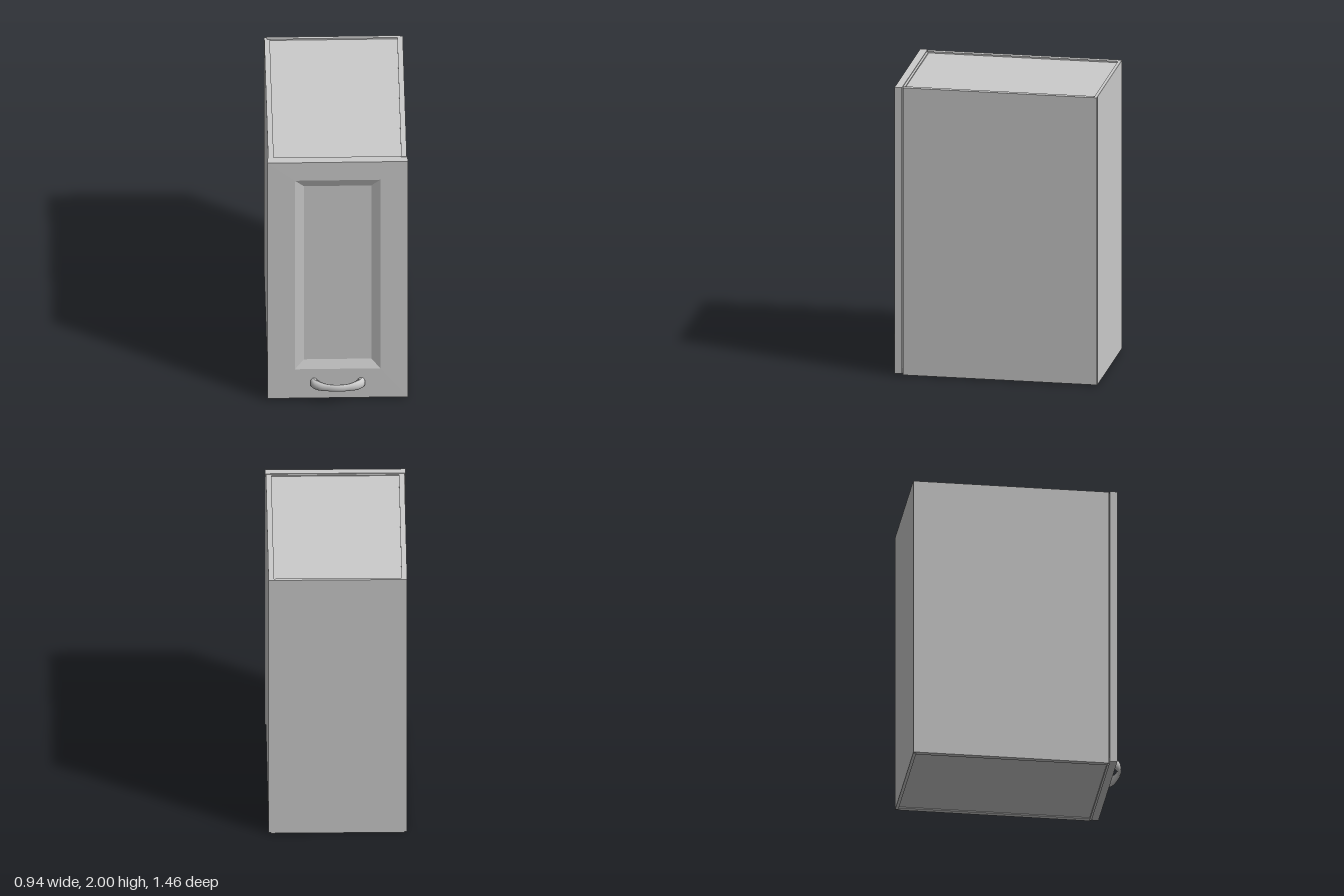
import * as THREE from 'three';

const grey = new THREE.MeshStandardMaterial({ color: 0xcccccc });
const facet = new THREE.MeshStandardMaterial({ color: 0xcccccc, flatShading: true });

// Box given by its minimum and maximum corners
function panel(name, [x0, y0, z0], [x1, y1, z1]) {
  const mesh = new THREE.Mesh(new THREE.BoxGeometry(x1 - x0, y1 - y0, z1 - z0), grey);
  mesh.position.set((x0 + x1) / 2, (y0 + y1) / 2, (z0 + z1) / 2);
  mesh.name = name;
  return mesh;
}

// Door skin lofted through rectangular rings [halfWidth, bottom, top, z]
function createDoor() {
  const rings = [
    [0.468, 0.015, 2.0, 0.59],
    [0.468, 0.015, 2.0, 0.64],
    [0.285, 0.26, 1.85, 0.642],
    [0.225, 0.325, 1.785, 0.618],
  ];
  const pos = [];
  const index = [];
  for (const [w, b, t, z] of rings) pos.push(-w, b, z, w, b, z, w, t, z, -w, t, z);
  for (let r = 0; r < rings.length - 1; r++) {
    for (let i = 0; i < 4; i++) {
      const a = r * 4 + i, b = r * 4 + (i + 1) % 4;
      index.push(a, b, b + 4, a, b + 4, a + 4);
    }
  }
  const c = (rings.length - 1) * 4;
  index.push(c, c + 1, c + 2, c, c + 2, c + 3); // sunken centre panel
  index.push(0, 2, 1, 0, 3, 2); // back
  const geo = new THREE.BufferGeometry();
  geo.setAttribute('position', new THREE.Float32BufferAttribute(pos, 3));
  geo.setIndex(index);
  const flat = geo.toNonIndexed();
  flat.computeVertexNormals();
  const mesh = new THREE.Mesh(flat, facet);
  mesh.name = 'door';
  return mesh;
}

// Bowed pull handle, thicker towards its feet
function createHandle() {
  const y = 0.15, segs = 40, sides = 14;
  const curve = new THREE.CatmullRomCurve3([
    [-0.155, 0.635], [-0.158, 0.655], [-0.125, 0.683], [-0.07, 0.704], [0, 0.712],
    [0.07, 0.704], [0.125, 0.683], [0.158, 0.655], [0.155, 0.635],
  ].map(([x, z]) => new THREE.Vector3(x, y, z)));
  const geo = new THREE.TubeGeometry(curve, segs, 1, sides);
  const p = geo.attributes.position;
  const v = new THREE.Vector3();
  for (let i = 0; i <= segs; i++) {
    const centre = curve.getPointAt(i / segs);
    const end = Math.abs(centre.x) / 0.158;
    const tall = 0.027 + 0.008 * THREE.MathUtils.smoothstep(end, 0.35, 0.9);
    const deep = 0.014 + 0.012 * THREE.MathUtils.smoothstep(end, 0.35, 1);
    for (let j = 0; j <= sides; j++) {
      const k = i * (sides + 1) + j;
      v.fromBufferAttribute(p, k).sub(centre);
      p.setXYZ(k, centre.x + v.x * deep, centre.y + v.y * tall, centre.z + v.z * deep);
    }
  }
  geo.computeVertexNormals();
  const mesh = new THREE.Mesh(geo, new THREE.MeshStandardMaterial({ color: 0xcccccc, side: THREE.DoubleSide }));
  mesh.name = 'handle';
  return mesh;
}

export function createModel() {
  const group = new THREE.Group();
  group.name = 'wallCabinet';

  // Carcass: side panels stand slightly proud of the panels between them
  group.add(
    panel('leftSide', [0.425, 0.005, -0.73], [0.462, 1.998, 0.585]),
    panel('rightSide', [-0.462, 0.005, -0.73], [-0.425, 1.998, 0.585]),
    panel('topPanel', [-0.425, 1.95, -0.71], [0.425, 1.988, 0.575]),
    panel('bottomPanel', [-0.425, 0.012, -0.71], [0.425, 0.05, 0.575]),
    panel('backPanel', [-0.445, 0, -0.731], [0.445, 2, -0.71]),
    panel('frontRail', [-0.445, 0, 0.575], [0.445, 0.05, 0.59]),
    panel('topRail', [-0.425, 1.95, 0.575], [0.425, 1.995, 0.59]),
  );

  group.add(createDoor(), createHandle());
  return group;
}
